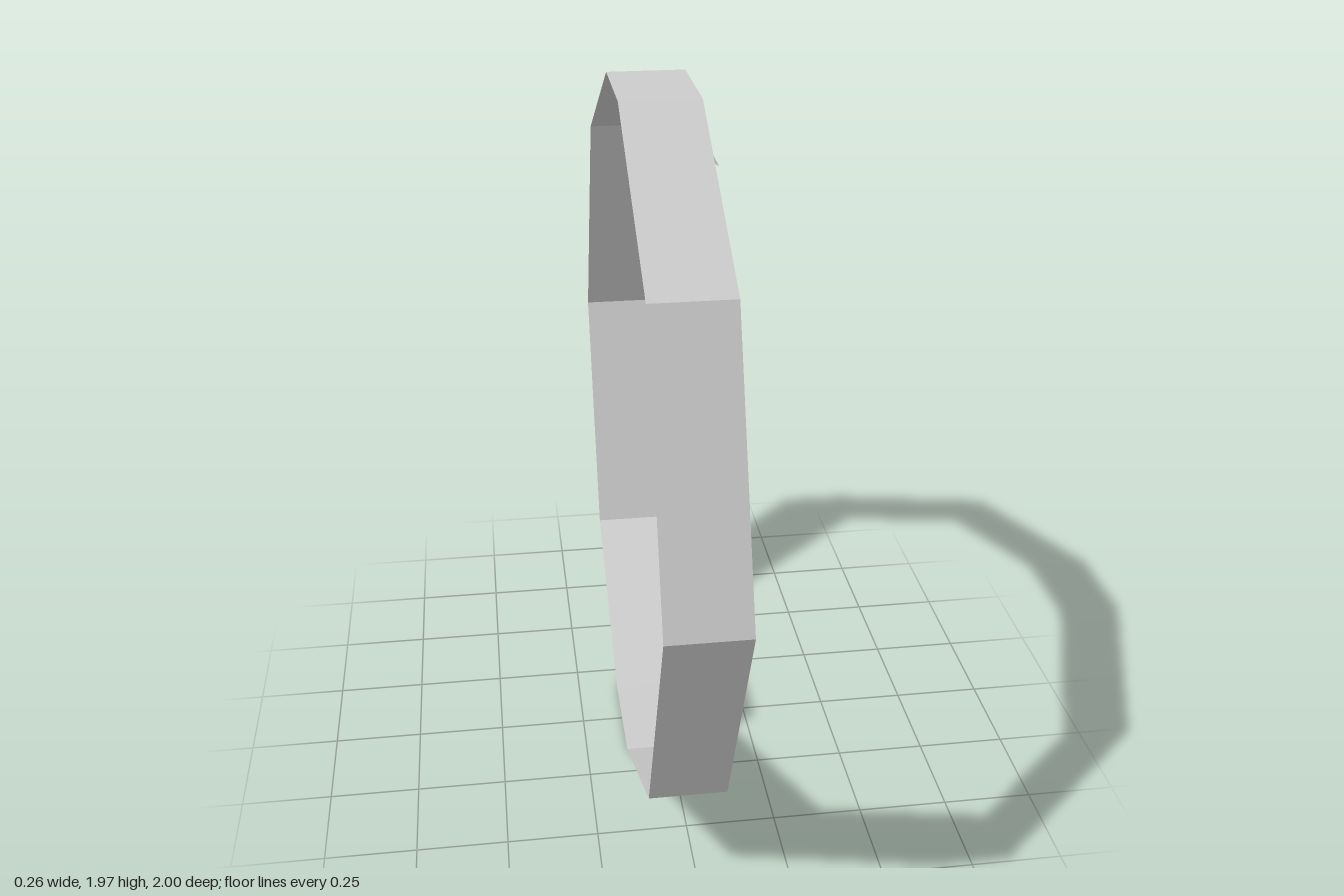
import * as THREE from 'three';

const MID_Y = 0.983;
const BACK_X = -0.13, FACE_X = 0.076, TAB_X = 0.13;

const material = new THREE.MeshStandardMaterial({
  color: 0xcccccc, flatShading: true, side: THREE.DoubleSide,
});

// Ten-sided outline from one quarter (side point, shoulder, flat end), mirrored both ways
function outline(side, [sx, sy], [ex, ey]) {
  return [
    [side, 0], [sx, sy], [ex, ey], [-ex, ey], [-sx, sy],
    [-side, 0], [-sx, -sy], [-ex, -ey], [ex, -ey], [sx, -sy],
  ].map(([x, y]) => new THREE.Vector2(x, y));
}

// Flat four-cornered panels, corners counter-clockwise from the front
function panels(name, quads) {
  const positions = quads.flatMap(([a, b, c, d]) => [a, b, c, a, c, d].flat());
  const geometry = new THREE.BufferGeometry();
  geometry.setAttribute('position', new THREE.Float32BufferAttribute(positions, 3));
  geometry.computeVertexNormals();
  const mesh = new THREE.Mesh(geometry, material);
  mesh.name = name;
  return mesh;
}

export function createModel() {
  const group = new THREE.Group();
  group.name = 'ringFrame';
  const outer = outline(1, [0.707, 0.688], [0.15, 0.983]);
  const inner = outline(0.833, [0.59, 0.59], [0.125, 0.834]);

  // Face: flat ring closing one side of the band
  const shape = new THREE.Shape(outer);
  shape.holes.push(new THREE.Path(inner));
  const faceGeometry = new THREE.ShapeGeometry(shape);
  faceGeometry.rotateY(Math.PI / 2).translate(FACE_X, MID_Y, 0);
  const face = new THREE.Mesh(faceGeometry, material);
  face.name = 'ringFace';
  group.add(face);

  // Band: thin outer wall, open on the other side and with no inner wall
  group.add(panels('outerBand', outer.map((p, i) => {
    const q = outer[(i + 1) % outer.length];
    return [
      [FACE_X, MID_Y + p.y, p.x], [FACE_X, MID_Y + q.y, q.x],
      [BACK_X, MID_Y + q.y, q.x], [BACK_X, MID_Y + p.y, p.x],
    ];
  })));

  // Tabs: thin slanted trapezoids on the inner edge, at the top and bottom
  for (const s of [1, -1]) {
    const rootY = MID_Y + s * 0.834, tipY = MID_Y + s * 0.794;
    group.add(panels(s > 0 ? 'topTab' : 'bottomTab', [[
      [FACE_X, rootY, s * 0.125], [TAB_X, tipY, s * 0.085],
      [TAB_X, tipY, s * -0.085], [FACE_X, rootY, s * -0.125],
    ]]));
  }

  return group;
}
